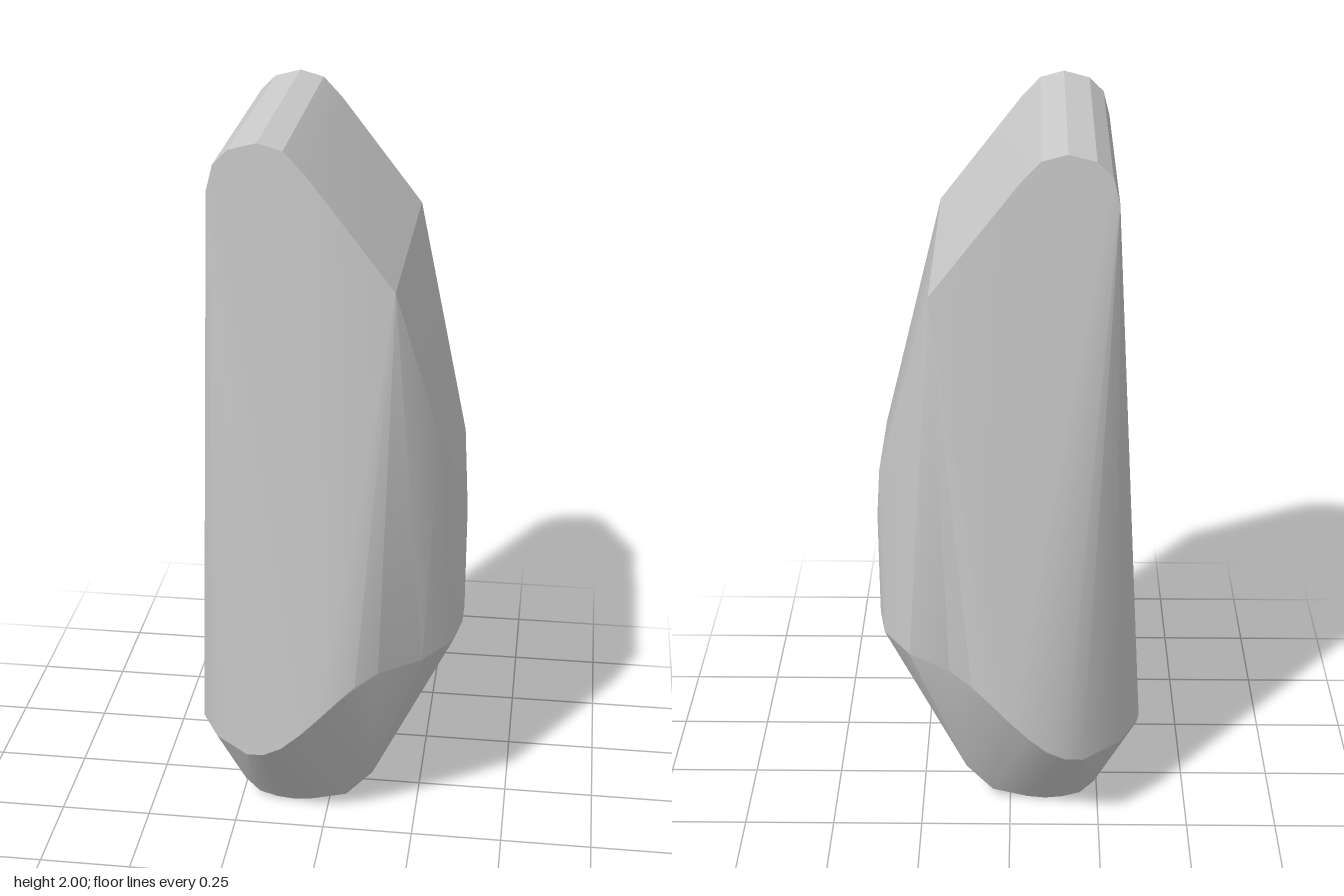
import * as THREE from 'three';
import { ConvexGeometry } from 'three/addons/geometries/ConvexGeometry.js';
import { toCreasedNormals } from 'three/addons/utils/BufferGeometryUtils.js';

export function createModel() {
  const group = new THREE.Group();
  const points = [];
  // adds a point and its mirror image across z = 0
  const pair = (x, y, z) => points.push(new THREE.Vector3(x, y, z), new THREE.Vector3(x, y, -z));

  // rounded ridge at the top, full width, with a long bevel to +x
  [[-0.26, 1.88], [-0.243, 1.945], [-0.205, 1.982], [-0.137, 2], [-0.075, 1.983],
    [-0.025, 1.93], [0.195, 1.645]].forEach(([x, y]) => pair(x, y, 0.365));

  // sloping edge where the +x bevel meets the round body
  [[0.3, 1.22, 0.235], [0.345, 1.07, 0.15], [0.363, 0.88, 0.045]].forEach((p) => pair(...p));

  // S-shaped crease around the body, above the tapered foot
  [[-0.365, 0.26, 0.08], [-0.357, 0.262, 0.12], [-0.3, 0.263, 0.225], [-0.2, 0.27, 0.317],
    [-0.15, 0.29, 0.344], [-0.1, 0.325, 0.361], [-0.05, 0.375, 0.371], [0, 0.43, 0.375],
    [0.05, 0.485, 0.372], [0.1, 0.535, 0.362], [0.16, 0.57, 0.34], [0.27, 0.575, 0.265],
    [0.345, 0.575, 0.15], [0.363, 0.575, 0.045]].forEach((p) => pair(...p));

  // narrow rounded foot
  [[-0.24, 0.06], [-0.2, 0.02], [-0.15, 0.005], [-0.1, 0], [-0.05, 0.005],
    [0.05, 0.03], [0.125, 0.11]].forEach(([x, y]) => pair(x, y, 0.125));

  const geometry = toCreasedNormals(new ConvexGeometry(points), THREE.MathUtils.degToRad(22));
  const body = new THREE.Mesh(geometry, new THREE.MeshStandardMaterial({ color: 0xcccccc }));
  body.name = 'facetedBody';
  group.add(body);
  return group;
}
